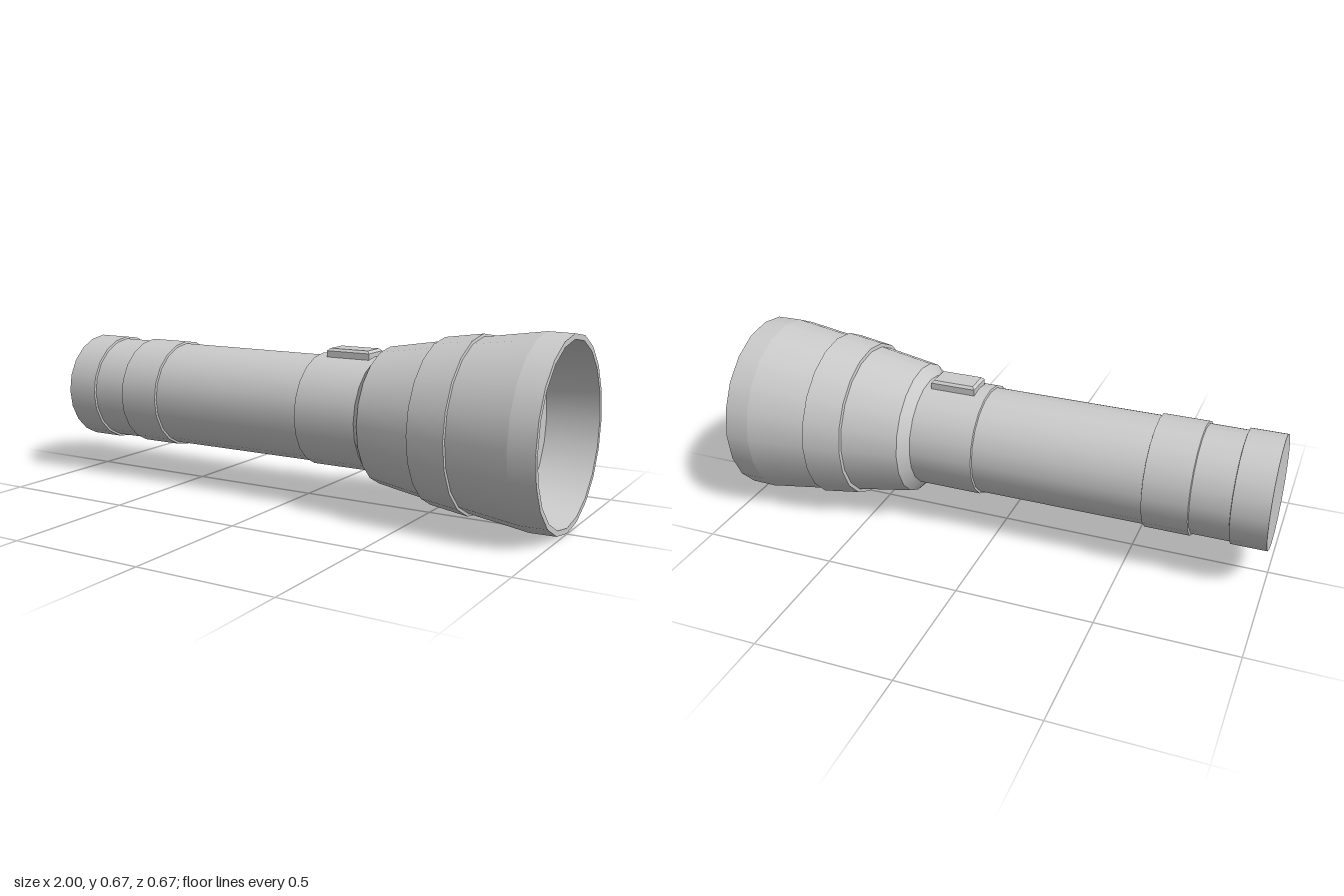
import * as THREE from 'three';

const SIDES = 20;
const AXIS_Y = 0.3345;

export function createModel() {
  const model = new THREE.Group();
  const torch = new THREE.Group();
  torch.name = 'torch';
  torch.position.y = AXIS_Y;
  model.add(torch);

  const grey = new THREE.MeshStandardMaterial({ color: 0xcccccc });
  const greyDouble = new THREE.MeshStandardMaterial({ color: 0xcccccc, side: THREE.DoubleSide });

  // One mesh per named part; bands between profile points [x, radius] keep crisp edges
  function turned(name, profile, material = grey) {
    const part = new THREE.Group();
    part.name = name;
    for (let i = 0; i < profile.length - 1; i++) {
      const [x0, r0] = profile[i];
      const [x1, r1] = profile[i + 1];
      const g = new THREE.CylinderGeometry(r1, r0, x1 - x0, SIDES, 1, true);
      g.rotateZ(-Math.PI / 2);
      g.translate((x0 + x1) / 2, 0, 0);
      const band = new THREE.Mesh(g, material);
      band.name = name + 'Band';
      part.add(band);
    }
    torch.add(part);
  }

  // Flat face across the axis, dir = +1 or -1 along x
  function flat(name, geometry, x, dir) {
    geometry.rotateY(dir * Math.PI / 2);
    const m = new THREE.Mesh(geometry, grey);
    m.name = name;
    m.position.x = x;
    torch.add(m);
  }

  // Handle
  turned('tailCap', [[-1, 0.206], [-0.872, 0.206], [-0.87, 0.198]]);
  flat('tailFace', new THREE.CircleGeometry(0.206, SIDES), -1, -1);
  turned('barrel', [[-0.87, 0.198], [0.065, 0.198]]);
  turned('gripRing', [[-0.732, 0.198], [-0.73, 0.206], [-0.567, 0.206], [-0.565, 0.198]]);
  turned('switchCollar', [[0.061, 0.198], [0.063, 0.206], [0.303, 0.206]]);

  // Head
  turned('neck', [[0.303, 0.206], [0.337, 0.246], [0.546, 0.28]]);
  turned('headRing', [[0.544, 0.28], [0.546, 0.293], [0.686, 0.313], [0.688, 0.303]]);
  turned('bezel', [[0.688, 0.303], [0.908, 0.3345], [1, 0.333]]);
  flat('rim', new THREE.RingGeometry(0.314, 0.333, SIDES), 1, 1);
  turned('reflector', [[0.815, 0.292], [1, 0.314]], greyDouble);
  flat('lens', new THREE.CircleGeometry(0.292, SIDES), 0.815, 1);

  // Push switch: a block with a chamfered top
  const w = 0.152, d = 0.084, bevel = 0.009;
  const shape = new THREE.Shape([
    new THREE.Vector2(-w / 2, -d / 2), new THREE.Vector2(w / 2, -d / 2),
    new THREE.Vector2(w / 2, d / 2), new THREE.Vector2(-w / 2, d / 2),
  ]);
  const button = new THREE.ExtrudeGeometry(shape, {
    depth: 0.042, bevelEnabled: true, bevelSize: bevel, bevelThickness: bevel, bevelSegments: 1,
  });
  button.rotateX(-Math.PI / 2);
  const switchMesh = new THREE.Mesh(button, grey);
  switchMesh.name = 'switch';
  switchMesh.position.set(0.192, 0.179, -0.002);
  torch.add(switchMesh);

  return model;
}
